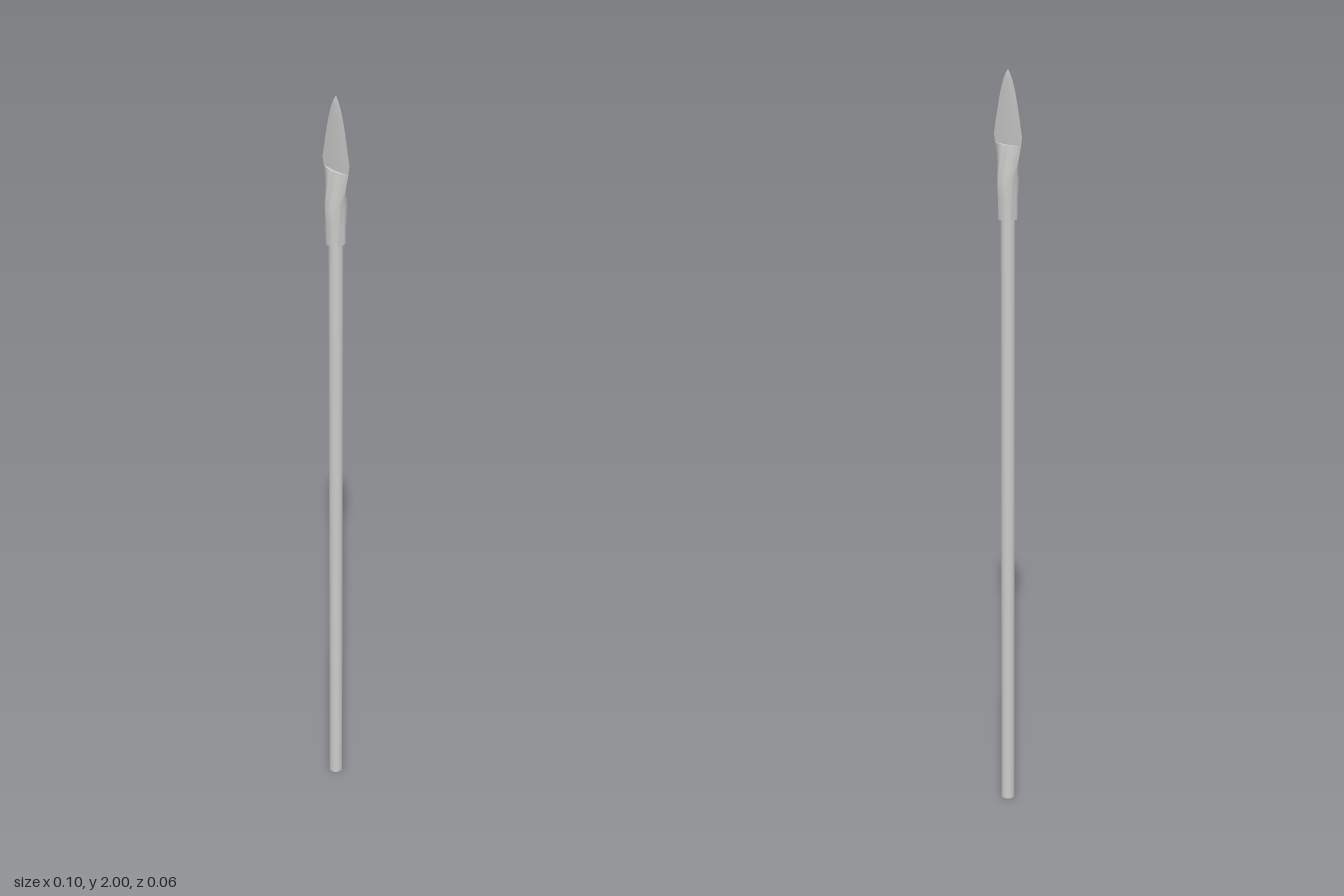
import * as THREE from 'three';
import { toCreasedNormals } from 'three/addons/utils/BufferGeometryUtils.js';

const material = new THREE.MeshStandardMaterial({ color: 0xcccccc });

// Lofts rings [y, halfWidth, halfDepth, q, r], section z = depth * (1 - |u|^q)^r, with both ends capped.
function loft(rings, sides) {
  const pos = [], index = [];
  for (const [y, w, d, q, r] of rings) {
    for (let j = 0; j < sides; j++) {
      const t = (j / sides) * Math.PI * 2;
      const u = Math.cos(t);
      const z = d * Math.pow(Math.max(0, 1 - Math.pow(Math.abs(u), q)), r);
      pos.push(w * u, y, Math.sin(t) < 0 ? -z : z);
    }
  }
  for (let i = 0; i < rings.length - 1; i++) {
    for (let j = 0; j < sides; j++) {
      const k = (j + 1) % sides;
      const a = i * sides + j, b = i * sides + k;
      index.push(a, a + sides, b, b, a + sides, b + sides);
    }
  }
  const last = (rings.length - 1) * sides, base = pos.length / 3;
  pos.push(0, rings[0][0], 0, 0, rings[rings.length - 1][0], 0);
  for (let j = 0; j < sides; j++) {
    const k = (j + 1) % sides;
    index.push(base, j, k, base + 1, last + k, last + j);
  }
  const geo = new THREE.BufferGeometry();
  geo.setAttribute('position', new THREE.Float32BufferAttribute(pos, 3));
  geo.setIndex(index);
  return toCreasedNormals(geo, 0.6);
}

export function createModel() {
  const group = new THREE.Group();
  group.name = 'spear';
  const add = (name, geo) => {
    const mesh = new THREE.Mesh(geo, material);
    mesh.name = name;
    group.add(mesh);
    return mesh;
  };

  // Long round shaft running up into the socket
  add('shaft', new THREE.CylinderGeometry(0.018, 0.018, 1.66, 20)).position.y = 0.83;

  // Socket: round at the bottom, flattening to a lens that ends in a step on the blade
  add('socket', loft([
    [1.635, 0.023, 0.025, 2, 0.5],
    [1.69, 0.024, 0.0265, 2, 0.5],
    [1.735, 0.027, 0.028, 2, 0.52],
    [1.76, 0.032, 0.0235, 2, 0.7],
    [1.785, 0.038, 0.019, 2, 0.85],
    [1.808, 0.044, 0.0145, 2, 1],
    [1.82, 0.047, 0.011, 2, 1],
  ], 32));

  // Thin leaf-shaped blade with a faint middle ridge
  add('blade', loft([
    [1.78, 0.035, 0.004, 1, 1],
    [1.82, 0.047, 0.004, 1, 1],
    [1.842, 0.051, 0.004, 1, 1],
    [1.88, 0.043, 0.004, 1, 1],
    [1.92, 0.034, 0.0037, 1, 1],
    [1.95, 0.026, 0.0033, 1, 1],
    [1.975, 0.017, 0.003, 1, 1],
    [1.99, 0.009, 0.0025, 1, 1],
    [2.0, 0.001, 0.001, 1, 1],
  ], 4));

  return group;
}
